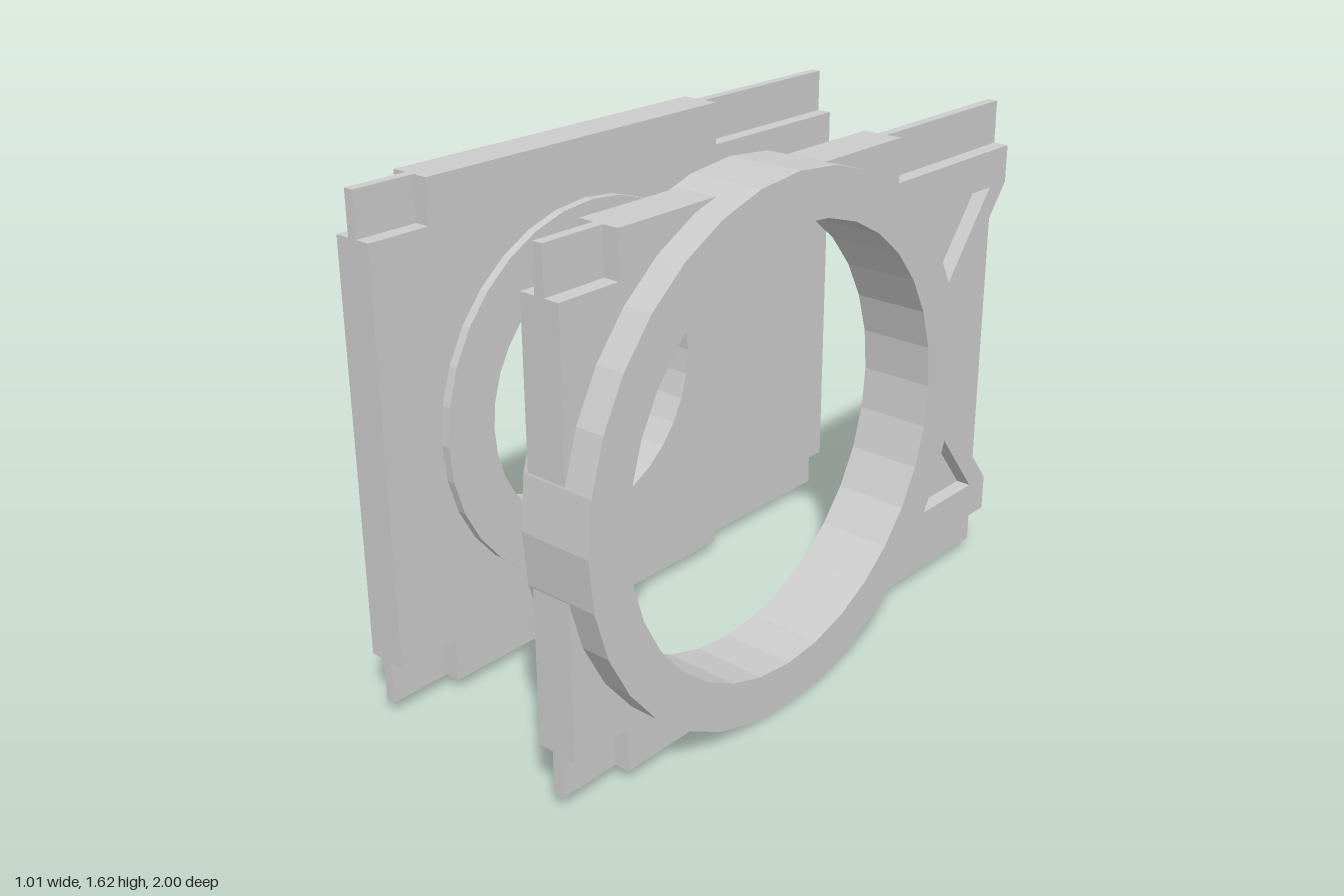
import * as THREE from 'three';

const CY = 0.811, CZ = 0.19;          // shared ring centre
const TOP = 0.773, SHOULDER = 0.638;  // heights measured from the ring centre
const BACK = -1, FRONT = 0.983;
const BACK_NOTCH = -0.4, FRONT_NOTCH = 0.78;
const PLATE = 0.13, WEB = 0.032;      // thicknesses

const material = new THREE.MeshStandardMaterial({ color: 0xcccccc, flatShading: true });

function mesh(name, geometry) {
  const m = new THREE.Mesh(geometry, material);
  m.name = name;
  return m;
}

const toPoints = (list) => list.map(([z, y]) => new THREE.Vector2(z, y));

function circle(radius, sides = 32) {
  return Array.from({ length: sides }, (_, i) => {
    const a = (i / sides) * Math.PI * 2;
    return [CZ + radius * Math.cos(a), radius * Math.sin(a)];
  });
}

// Extrudes a (z, y) outline along x, centred on x = 0
function slab(name, outline, holes, thickness) {
  const shape = new THREE.Shape(toPoints(outline));
  for (const h of holes) shape.holes.push(new THREE.Path(toPoints(h)));
  const g = new THREE.ExtrudeGeometry(shape, { depth: thickness, bevelEnabled: false });
  g.translate(0, 0, -thickness / 2).rotateY(-Math.PI / 2).translate(0, CY, 0);
  return mesh(name, g);
}

function ring(name, outer, inner, x0, x1) {
  const r = slab(name, circle(outer), [circle(inner)], x1 - x0);
  r.position.x = (x0 + x1) / 2;
  return r;
}

// Thin tongues that fill the stepped corners
function addTongues(group) {
  for (const s of [-1, 1]) {
    for (const [z0, z1, end] of [[BACK, BACK_NOTCH, 'back'], [FRONT_NOTCH, FRONT, 'front']]) {
      const t = mesh(end + 'Tongue', new THREE.BoxGeometry(WEB, TOP - SHOULDER, z1 - z0));
      t.position.set(0, CY + s * (TOP + SHOULDER) / 2, (z0 + z1) / 2);
      group.add(t);
    }
  }
}

// Plate outline with stepped corners; backCut adds points down the rear edge
function plateOutline(backCut = []) {
  return [
    [BACK, -SHOULDER], [BACK_NOTCH, -SHOULDER], [BACK_NOTCH, -TOP],
    [FRONT_NOTCH, -TOP], [FRONT_NOTCH, -SHOULDER], [FRONT, -SHOULDER],
    [FRONT, SHOULDER], [FRONT_NOTCH, SHOULDER], [FRONT_NOTCH, TOP],
    [BACK_NOTCH, TOP], [BACK_NOTCH, SHOULDER], [BACK, SHOULDER],
    ...backCut,
  ];
}

export function createModel() {
  const model = new THREE.Group();
  model.name = 'plateAssembly';

  // Solid plate with the small ring
  const solid = new THREE.Group();
  solid.name = 'solidSide';
  solid.position.x = -0.35;
  solid.add(slab('solidPlate', plateOutline(), [circle(0.5)], PLATE));
  addTongues(solid);
  solid.add(ring('smallRing', 0.592, 0.42, -0.158, 0.094));
  model.add(solid);

  // Braced plate with the large ring
  const braced = new THREE.Group();
  braced.name = 'bracedSide';
  braced.position.x = 0.35;
  const rearPocket = [[BACK, 0.52], [-0.6, 0.02], [-0.6, -0.02], [BACK, -0.52]];
  const sidePockets = [1, -1].map((s) => [[-0.455, s * 0.52], [-0.91, s * 0.52], [-0.62, s * 0.152]]);
  braced.add(slab('bracedPlate', plateOutline(rearPocket), [circle(0.74), ...sidePockets], PLATE));
  // Thin webs between the braces
  [rearPocket, ...sidePockets].forEach((p) => braced.add(slab('pocketWeb', p, [], WEB)));
  addTongues(braced);
  braced.add(ring('largeRing', 0.81, 0.667, -0.08, 0.156));
  model.add(braced);

  return model;
}
